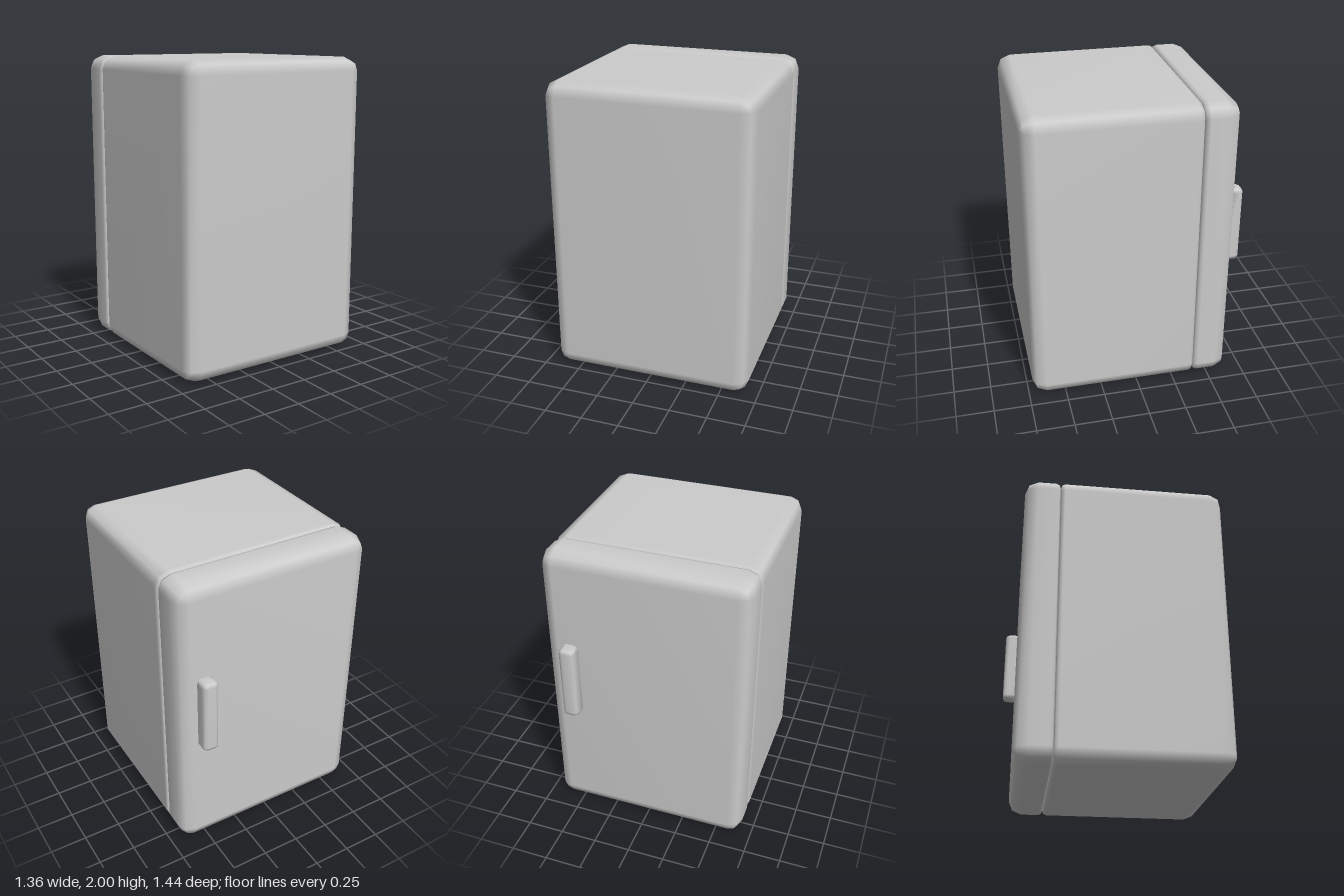
import * as THREE from 'three';
import { mergeVertices } from 'three/addons/utils/BufferGeometryUtils.js';

const STEPS = 2; // segments per rounded edge

// Box with rounded corners of radius R in the xy plane, and its own
// edge radius at the front (zFront, rFront) and back (zBack, rBack) ends.
function softBox(width, height, R, zFront, rFront, zBack, rBack) {
  const profile = [];
  for (let k = 0; k <= STEPS; k++) {
    const a = (k / STEPS) * Math.PI / 2;
    profile.push([zFront - rFront * (1 - Math.cos(a)), rFront * (1 - Math.sin(a))]);
  }
  for (let k = STEPS; k >= 0; k--) {
    const a = (k / STEPS) * Math.PI / 2;
    profile.push([zBack + rBack * (1 - Math.cos(a)), rBack * (1 - Math.sin(a))]);
  }

  const positions = [], index = [];
  const n = 4 * (STEPS + 1);
  for (const [z, inset] of profile) {
    for (let q = 0; q < 4; q++) {
      const sx = q === 0 || q === 3 ? 1 : -1, sy = q < 2 ? 1 : -1;
      for (let k = 0; k <= STEPS; k++) {
        const a = (q + k / STEPS) * Math.PI / 2;
        positions.push(
          sx * (width / 2 - R) + (R - inset) * Math.cos(a),
          sy * (height / 2 - R) + (R - inset) * Math.sin(a), z);
      }
    }
  }
  // side walls
  for (let j = 0; j < profile.length - 1; j++) {
    for (let i = 0; i < n; i++) {
      const i1 = (i + 1) % n;
      const a = j * n + i, a1 = j * n + i1, b = a + n, b1 = a1 + n;
      index.push(a, b, b1, a, b1, a1);
    }
  }
  // end caps
  const last = (profile.length - 1) * n;
  for (let i = 1; i < n - 1; i++) {
    index.push(0, i, i + 1, last, last + i + 1, last + i);
  }

  let geometry = new THREE.BufferGeometry();
  geometry.setAttribute('position', new THREE.Float32BufferAttribute(positions, 3));
  geometry.setIndex(index);
  geometry = mergeVertices(geometry, 1e-4);
  geometry.computeVertexNormals();
  return geometry;
}

export function createModel() {
  const group = new THREE.Group();
  const material = new THREE.MeshStandardMaterial({ color: 0xcccccc });
  const add = (name, geometry, x, y) => {
    const mesh = new THREE.Mesh(geometry, material);
    mesh.name = name;
    mesh.position.set(x, y, 0);
    group.add(mesh);
  };

  // cabinet, with a tighter edge where it meets the door
  add('cabinet', softBox(1.36, 2, 0.09, 0.72, 0.09, -0.4, 0.03), 0, 1);
  // door on the -z side
  add('door', softBox(1.36, 2, 0.09, -0.4, 0.03, -0.64, 0.09), 0, 1);
  // upright handle, sunk slightly into the door
  add('handle', softBox(0.11, 0.53, 0.03, -0.6, 0, -0.724, 0.03), 0.5, 1.095);

  return group;
}
